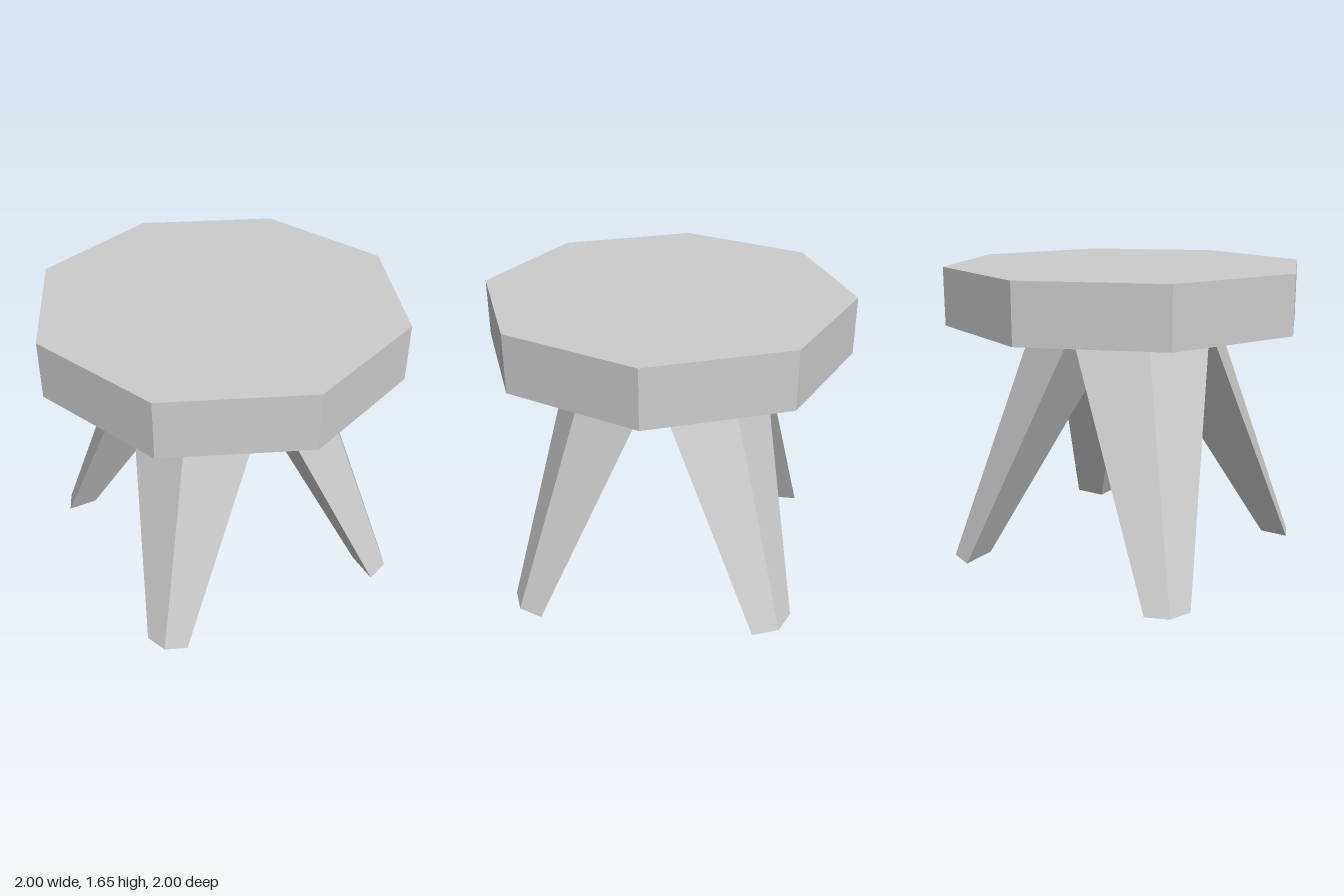
import * as THREE from 'three';

const SEAT_BOTTOM = 1.335, SEAT_TOP = 1.65, LEG_SPREAD = 0.525;

// Kite cross-section: inner corner, side, outer corner, side
const H = Math.SQRT1_2;
const KITE = [[0, 0], [1, 0], [H, H], [0, 1]];

// Tapered leg from a wedge under the seat centre to a small kite-shaped foot
function legGeometry(sx, sz, footX, footZ, footSize) {
  const ring = (x, y, z, size) =>
    KITE.map(([u, v]) => [sx * (x + u * size), y, sz * (z + v * size)]);
  const foot = ring(footX, 0, footZ, footSize);
  const top = ring(0, SEAT_BOTTOM, 0, LEG_SPREAD);
  if (sx * sz < 0) { foot.reverse(); top.reverse(); } // keep faces outward when mirrored

  const points = [];
  const quad = (a, b, c, d) => points.push(a, b, c, a, c, d);
  for (let i = 0; i < 4; i++) {
    const j = (i + 1) % 4;
    quad(foot[i], top[i], top[j], foot[j]);
  }
  quad(...foot);

  const geometry = new THREE.BufferGeometry();
  geometry.setAttribute('position', new THREE.Float32BufferAttribute(points.flat(), 3));
  geometry.computeVertexNormals();
  return geometry;
}

export function createModel() {
  const model = new THREE.Group();
  model.name = 'stool';
  const material = new THREE.MeshStandardMaterial({ color: 0xcccccc, flatShading: true });
  const add = (name, geometry) => {
    const mesh = new THREE.Mesh(geometry, material);
    mesh.name = name;
    model.add(mesh);
    return mesh;
  };

  // Octagonal seat
  const seat = add('seat', new THREE.CylinderGeometry(1, 1, SEAT_TOP - SEAT_BOTTOM, 8));
  seat.position.y = (SEAT_TOP + SEAT_BOTTOM) / 2;

  // Four slightly irregular splayed legs: side signs, foot inner corner, foot size
  add('frontLeftLeg', legGeometry(1, 1, 0.595, 0.6, 0.19));
  add('backLeftLeg', legGeometry(1, -1, 0.58, 0.56, 0.2));
  add('frontRightLeg', legGeometry(-1, 1, 0.595, 0.6, 0.163));
  add('backRightLeg', legGeometry(-1, -1, 0.6, 0.6, 0.17));

  return model;
}
